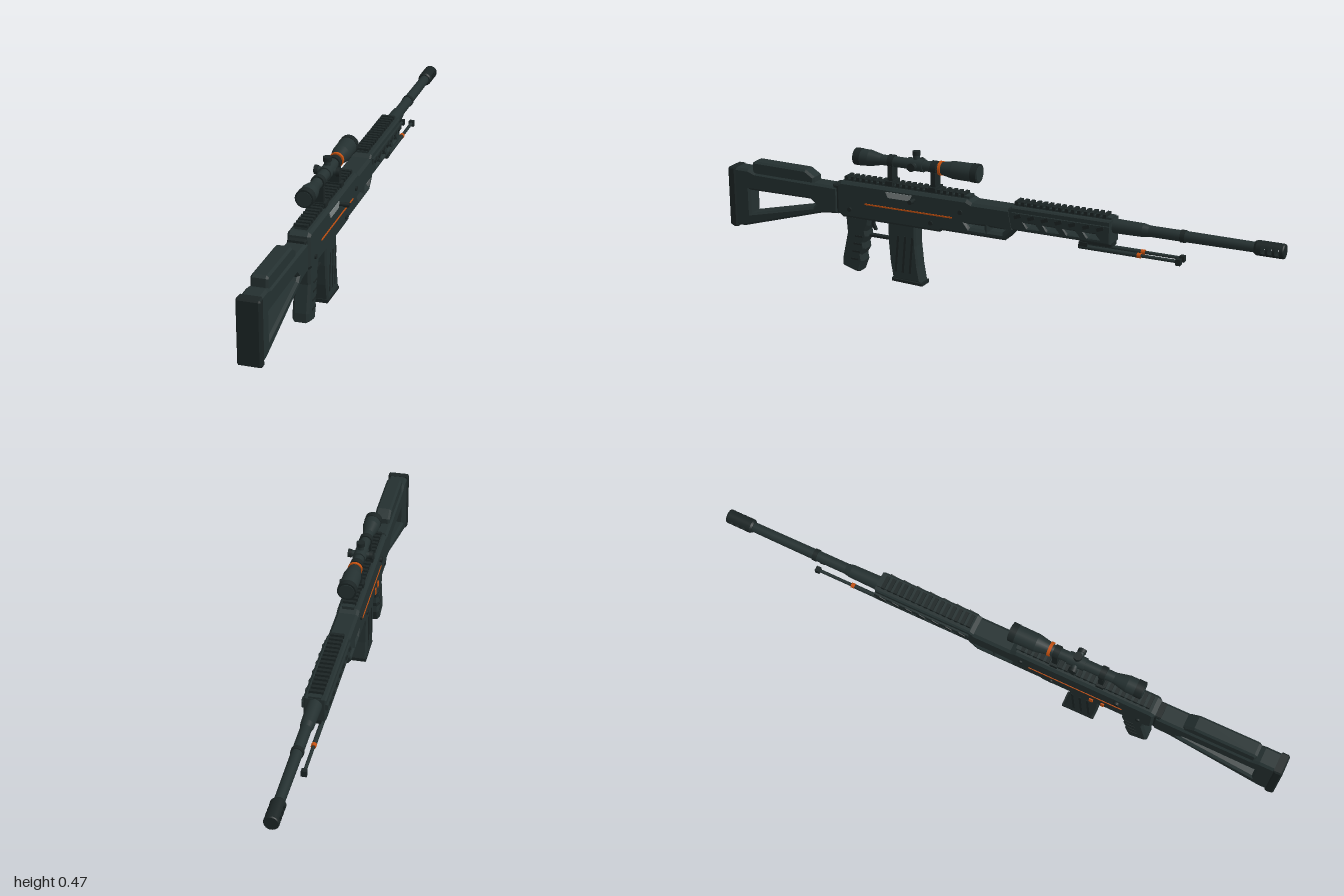
import * as THREE from 'three';

const mat = (name, color, side = THREE.FrontSide) => {
  const m = new THREE.MeshStandardMaterial({ color, side });
  m.name = name;
  return m;
};

export function createModel() {
  const body = mat('gunmetal green', 0x243030);
  const dark = mat('dark rubber', 0x1b2424);
  const steel = mat('bare steel', 0x7d8585);
  const orange = mat('orange accent', 0xc4500f);

  const root = new THREE.Group();
  root.name = 'rifle';
  const gun = new THREE.Group();
  gun.name = 'rifleBody';
  gun.position.x = -0.0125;
  root.add(gun);

  const add = (name, geo, material, x = 0, y = 0, z = 0) => {
    const m = new THREE.Mesh(geo, material);
    m.name = name;
    m.position.set(x, y, z);
    gun.add(m);
    return m;
  };
  const box = (name, w, h, d, x, y, z, material = body) =>
    add(name, new THREE.BoxGeometry(w, h, d), material, x, y, z);
  const points = (list) => list.map(([z, y]) => new THREE.Vector2(z, y));

  // Side profile in (z, y), extruded to a width across x
  const slab = (name, profile, width, bevel = 0, holes = [], material = body) => {
    const shape = new THREE.Shape(points(profile));
    holes.forEach((h) => shape.holes.push(new THREE.Path(points(h))));
    const depth = width - 2 * bevel;
    const geo = new THREE.ExtrudeGeometry(shape, {
      depth, bevelEnabled: bevel > 0, bevelSize: bevel, bevelThickness: bevel,
      bevelOffset: -bevel, bevelSegments: 1,
    });
    geo.translate(0, 0, -depth / 2);
    geo.rotateY(-Math.PI / 2);
    return add(name, geo, material);
  };
  // Round part along z, from a list of [z, radius]
  const turned = (name, profile, y, material = body, x = 0) => {
    const geo = new THREE.CylinderGeometry(1, 1, 1, 24);
    geo.dispose();
    const parts = new THREE.Group();
    parts.name = name;
    for (let i = 0; i < profile.length - 1; i++) {
      const [z0, r0] = profile[i], [z1, r1] = profile[i + 1];
      if (z0 === z1) continue;
      const g = new THREE.CylinderGeometry(r0, r1, z0 - z1, 24);
      g.rotateX(Math.PI / 2);
      const m = new THREE.Mesh(g, material);
      m.name = name + 'Section';
      m.position.set(x, y, (z0 + z1) / 2);
      parts.add(m);
    }
    gun.add(parts);
  };
  // Round part along x
  const knob = (name, r, x0, x1, y, z, material = body) => {
    const g = new THREE.CylinderGeometry(r, r, x1 - x0, 16);
    g.rotateZ(Math.PI / 2);
    return add(name, g, material, (x0 + x1) / 2, y, z);
  };
  const teeth = (name, z0, z1, y, width) => {
    for (let z = z0; z > z1; z -= 0.022) box(name, width, 0.012, 0.012, 0, y, z - 0.006, dark);
  };

  // Skeleton stock, butt pad and cheek rest
  slab('stock', [[0.985, 0.325], [0.92, 0.325], [0.89, 0.315], [0.56, 0.31], [0.56, 0.215], [0.62, 0.21],
    [0.945, 0.115], [0.985, 0.115]], 0.066, 0.008,
    [[[0.915, 0.25], [0.915, 0.165], [0.66, 0.225], [0.65, 0.235], [0.67, 0.252]]]);
  slab('buttPad', [[1, 0.32], [0.995, 0.326], [0.97, 0.326], [0.97, 0.11], [0.985, 0.108], [1, 0.116]],
    0.074, 0.005, [], dark);
  slab('cheekRest', [[0.905, 0.348], [0.895, 0.355], [0.69, 0.352], [0.655, 0.33], [0.655, 0.305], [0.905, 0.305]],
    0.054, 0.007);
  slab('stockCollar', [[0.58, 0.318], [0.55, 0.318], [0.55, 0.218], [0.58, 0.218]], 0.058, 0.004, [], dark);

  // Receiver and lower forend
  slab('receiver', [[0.56, 0.325], [0.545, 0.335], [0.07, 0.335], [0.05, 0.326], [-0.09, 0.326], [-0.105, 0.255],
    [-0.07, 0.215], [0.16, 0.215], [0.17, 0.208], [0.54, 0.208], [0.56, 0.222]], 0.074, 0.009,
    [[[0.07, 0.252], [0.058, 0.24], [0.005, 0.24], [0.005, 0.252]],
      [[-0.015, 0.252], [-0.015, 0.24], [-0.06, 0.24], [-0.072, 0.252]]]);
  box('receiverRail', 0.04, 0.012, 0.47, 0, 0.337, 0.3);
  teeth('receiverRailTooth', 0.535, 0.075, 0.345, 0.045);

  // Ejection port, accent stripes and pins
  const port = slab('ejectionPort', [[0.37, 0.322], [0.27, 0.322], [0.28, 0.302], [0.36, 0.302]], 0.006, 0, [], steel);
  port.position.x = 0.0365;
  for (const s of [-1, 1]) {
    box('accentStripe', 0.004, 0.005, 0.33, s * 0.037, 0.267, 0.285, orange);
    for (const [z, y] of [[0.51, 0.24], [0.2, 0.237], [0.09, 0.29]])
      knob('receiverPin', 0.008, s * 0.038 - 0.004, s * 0.038 + 0.004, y, z, dark);
  }
  knob('boltHandle', 0.006, 0.03, 0.062, 0.308, 0.262, dark);
  knob('boltKnob', 0.008, 0.052, 0.0695, 0.308, 0.262, dark);
  knob('safetyLever', 0.01, -0.0455, -0.034, 0.305, 0.43, dark);
  box('magazineRelease', 0.006, 0.022, 0.014, -0.038, 0.228, 0.345, orange);
  box('selectorMark', 0.006, 0.022, 0.012, -0.038, 0.232, 0.385, orange);

  // Grip with finger grooves
  slab('grip', [[0.535, 0.215], [0.44, 0.215], [0.445, 0.185], [0.455, 0.165], [0.452, 0.145], [0.464, 0.122],
    [0.461, 0.1], [0.474, 0.078], [0.47, 0.055], [0.485, 0.015], [0.5, 0.014], [0.552, 0.03], [0.55, 0.06],
    [0.53, 0.15]], 0.054, 0.008);
  for (let i = 0; i < 4; i++)
    box('gripGroove', 0.057, 0.006, 0.03, 0, 0.06 + i * 0.028, 0.5 - i * 0.006, dark);

  // Trigger and guard
  box('triggerGuard', 0.02, 0.008, 0.1, 0, 0.147, 0.4, dark);
  slab('trigger', [[0.45, 0.215], [0.43, 0.215], [0.436, 0.19], [0.426, 0.168], [0.434, 0.168], [0.446, 0.19]],
    0.012, 0, [], dark);

  // Curved magazine
  slab('magazine', [[0.37, 0.215], [0.265, 0.215], [0.264, 0.14], [0.257, 0.07], [0.247, 0.012], [0.353, 0.012],
    [0.363, 0.07], [0.369, 0.14]], 0.054, 0.006);
  slab('magazineBase', [[0.358, 0.016], [0.242, 0.012], [0.242, 0], [0.358, 0.004]], 0.054, 0.002, [], dark);
  for (const s of [-1, 1])
    for (let i = 0; i < 3; i++) {
      const rib = box('magazineRib', 0.003, 0.13, 0.008, s * 0.027, 0.105, 0.335 - i * 0.027, dark);
      rib.rotation.x = -0.09;
    }

  // Handguard with through slots, top rail and side rails
  const slots = [];
  for (let i = 0; i < 4; i++) {
    const z = -0.14 - i * 0.07;
    slots.push([[z, 0.285], [z - 0.012, 0.271], [z - 0.05, 0.271], [z - 0.038, 0.285]]);
  }
  slab('handguard', [[-0.08, 0.325], [-0.095, 0.336], [-0.44, 0.336], [-0.44, 0.256], [-0.1, 0.256], [-0.08, 0.265]],
    0.072, 0.005, slots);
  box('handguardRail', 0.04, 0.01, 0.34, 0, 0.338, -0.268);
  teeth('handguardRailTooth', -0.1, -0.43, 0.345, 0.045);
  for (const s of [-1, 1]) {
    box('sideRail', 0.01, 0.02, 0.34, s * 0.037, 0.308, -0.268);
    for (let i = 0; i < 7; i++) {
      const t = box('sideRailTooth', 0.006, 0.012, 0.025, s * 0.042, 0.308, -0.12 - i * 0.048, dark);
      t.rotation.x = 0.35;
    }
  }

  // Barrel and ported muzzle brake
  const by = 0.312;
  turned('barrel', [[-0.43, 0.024], [-0.54, 0.022], [-0.56, 0.018], [-0.66, 0.018], [-0.92, 0.0165]], by);
  turned('barrelBand', [[-0.665, 0.0205], [-0.68, 0.0205]], by, dark);
  turned('brakeRear', [[-0.905, 0.02], [-0.912, 0.024], [-0.928, 0.024]], by, dark);
  turned('brakeFront', [[-0.986, 0.024], [-0.996, 0.024], [-1, 0.022]], by, dark);
  for (const z of [-0.942, -0.964]) turned('brakeBaffle', [[z, 0.024], [z - 0.008, 0.024]], by, dark);
  for (const s of [0, 1]) {
    const arc = new THREE.Shape();
    arc.absarc(0, 0, 0.024, Math.PI / 6, Math.PI * 5 / 6, false);
    const g = new THREE.ExtrudeGeometry(arc, { depth: 0.07, bevelEnabled: false, curveSegments: 12 });
    g.rotateZ(s * Math.PI);
    add('brakeWall', g, dark, 0, by, -0.992);
  }

  // Folded bipod
  box('bipodMount', 0.04, 0.014, 0.11, 0, 0.251, -0.385, dark);
  box('bipodHinge', 0.05, 0.022, 0.03, 0, 0.238, -0.342, dark);
  for (const s of [-1, 1]) {
    const x = s * 0.018;
    turned('bipodLeg', [[-0.33, 0.0075], [-0.53, 0.0075], [-0.53, 0.0055], [-0.66, 0.0055]], 0.232, body, x);
    turned('bipodBand', [[-0.527, 0.0085], [-0.54, 0.0085]], 0.232, orange, x);
    box('bipodFoot', 0.018, 0.02, 0.016, x, 0.231, -0.665, dark);
  }

  // Scope, mounts and turrets
  const sy = 0.42;
  turned('scopeTube', [[0.498, 0.028], [0.445, 0.028], [0.4, 0.018], [0.19, 0.018], [0.13, 0.03], [0.04, 0.031]], sy);
  turned('eyepieceRing', [[0.5, 0.0295], [0.475, 0.0295]], sy, dark);
  turned('objectiveRing', [[0.06, 0.032], [0.038, 0.032]], sy, dark);
  turned('rearLens', [[0.502, 0.024], [0.499, 0.024]], sy);
  turned('frontLens', [[0.039, 0.026], [0.036, 0.026]], sy);
  turned('scopeAccentRing', [[0.182, 0.0245], [0.172, 0.0245]], sy, orange);
  for (const z of [0.362, 0.2]) {
    box('scopeMount', 0.038, 0.065, 0.018, 0, 0.373, z, dark);
    box('mountClamp', 0.054, 0.016, 0.026, 0, 0.348, z, dark);
    turned('scopeRing', [[z + 0.01, 0.0225], [z - 0.01, 0.0225]], sy, dark);
  }
  turned('turretHousing', [[0.3, 0.022], [0.24, 0.022]], sy);
  knob('sideTurretShaft', 0.011, -0.036, 0.04, sy, 0.27);
  for (const s of [-1, 1]) knob('sideTurretCap', 0.0145, s * 0.036 - 0.006, s * 0.036 + 0.006, sy, 0.27, dark);
  add('topTurretShaft', new THREE.CylinderGeometry(0.011, 0.011, 0.04, 16), body, 0, 0.44, 0.27);
  add('topTurretCap', new THREE.CylinderGeometry(0.014, 0.014, 0.014, 16), dark, 0, 0.46, 0.27);

  return root;
}
